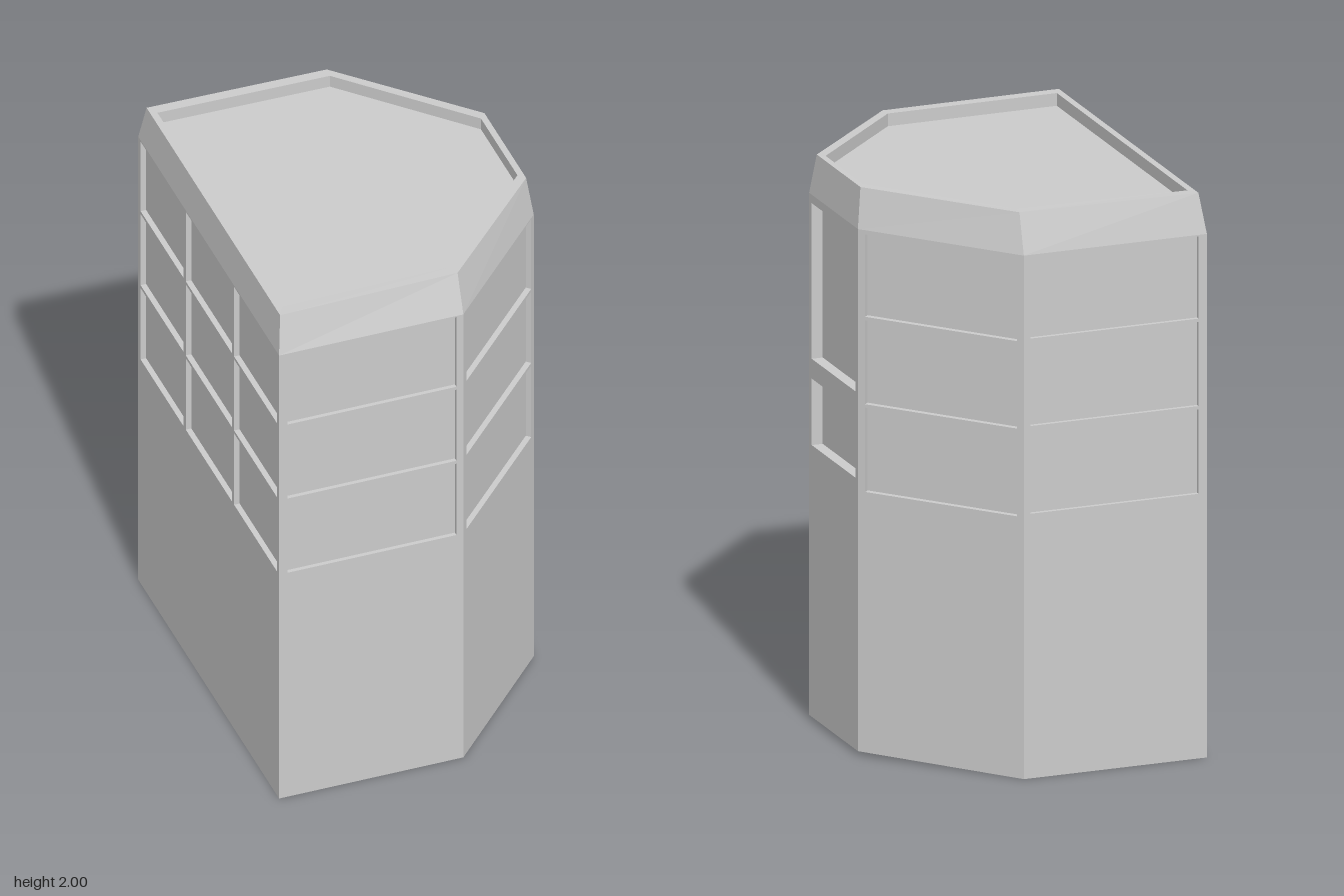
import * as THREE from 'three';

const material = new THREE.MeshStandardMaterial({ color: 0xcccccc, flatShading: true });

// Six corners of each level as [x, y, z], counter-clockwise seen from above
const BASE = [[-0.545, 0, 0.67], [0.12, 0, 0.67], [0.54, 0.015, 0.232], [0.54, 0.015, -0.212], [0.12, 0, -0.67], [-0.545, 0, -0.67]];
const EAVE = BASE.map(([x, y, z]) => [x, x > 0.5 ? 1.86 : 1.85, z]);
const TOP = [[-0.527, 1.988, 0.632], [0.118, 1.99, 0.62], [0.522, 2, 0.207], [0.522, 2, -0.19], [0.118, 1.99, -0.625], [-0.527, 1.988, -0.638]];
const RIM = [[-0.503, 1.988, 0.59], [0.115, 1.99, 0.58], [0.5, 2, 0.182], [0.5, 2, -0.165], [0.115, 1.99, -0.587], [-0.503, 1.988, -0.598]];
const ROOF = RIM.map(([x, y, z]) => [x, y - 0.045, z]);

// Flat-shaded mesh from four-cornered faces
function quadMesh(name, quads) {
  const points = quads.flatMap(([a, b, c, d]) => [a, b, c, a, c, d]);
  const geometry = new THREE.BufferGeometry();
  geometry.setAttribute('position', new THREE.Float32BufferAttribute(points.flat(), 3));
  geometry.computeVertexNormals();
  const mesh = new THREE.Mesh(geometry, material);
  mesh.name = name;
  return mesh;
}

// Band of faces joining two levels
function band(name, from, to) {
  return quadMesh(name, from.map((p, i) => {
    const j = (i + 1) % from.length;
    return [p, from[j], to[j], to[i]];
  }));
}

// Horizontal cap, folded between the square rear part and the tapering bay
function cap(name, p, faceDown) {
  const quads = [[p[0], p[1], p[4], p[5]], [p[1], p[2], p[3], p[4]]];
  return quadMesh(name, faceDown ? quads.map((q) => q.reverse()) : quads);
}

// Wall i with recessed windows; each window is [start, end, bottom, top],
// start and end measured along the wall from its left corner
function wall(name, i, windows, depth) {
  const j = (i + 1) % 6;
  const [a, b, c, d] = [BASE[i], BASE[j], EAVE[j], EAVE[i]];
  const along = new THREE.Vector3(b[0] - a[0], 0, b[2] - a[2]);
  const length = along.length();
  along.normalize();
  const up = new THREE.Vector3(0, 1, 0);
  const normal = along.clone().cross(up);
  const slope = (c[1] - d[1]) / length;

  const shape = new THREE.Shape([[0, a[1]], [length, b[1]], [length, c[1]], [0, d[1]]]
    .map((p) => new THREE.Vector2(...p)));
  const recesses = [];
  for (const [s, e, bottom, top] of windows) {
    const corners = [[s, bottom + slope * s], [e, bottom + slope * e], [e, top + slope * e], [s, top + slope * s]];
    shape.holes.push(new THREE.Path(corners.map((p) => new THREE.Vector2(...p))));
    const outer = corners.map(([u, v]) => [u, v, 0]);
    const inner = corners.map(([u, v]) => [u, v, -depth]);
    recesses.push(inner);
    outer.forEach((p, k) => {
      const n = (k + 1) % 4;
      recesses.push([p, outer[n], inner[n], inner[k]]);
    });
  }

  const group = new THREE.Group();
  group.name = name;
  const face = new THREE.Mesh(new THREE.ShapeGeometry(shape), material);
  face.name = name + 'Face';
  group.add(face, quadMesh(name + 'Windows', recesses));
  group.applyMatrix4(new THREE.Matrix4().makeBasis(along, up, normal).setPosition(a[0], 0, a[2]));
  return group;
}

// Every combination of the given columns with the three window rows
const ROWS = [[0.935, 1.233], [1.245, 1.542], [1.554, 1.845]];
const grid = (columns) => columns.flatMap((c) => ROWS.map((r) => [...c, ...r]));

export function createModel() {
  const model = new THREE.Group();
  model.name = 'tower';

  // Walls
  model.add(
    wall('frontWall', 0, grid([[0.03, 0.64]]), 0.015),
    wall('frontAngledWall', 1, grid([[0.027, 0.585]]), 0.02),
    wall('endWall', 2, [[0.024, 0.42, 0.975, 1.21], [0.024, 0.42, 1.28, 1.83]], 0.04),
    wall('backAngledWall', 3, grid([[0.027, 0.595]]), 0.02),
    wall('backWall', 4, grid([[0.025, 0.635]]), 0.015),
    wall('flatSideWall', 5, grid([[0.022, 0.43], [0.452, 0.89], [0.912, 1.318]]), 0.02),
  );

  // Sloped crown, parapet and sunken roof
  model.add(
    band('crown', EAVE, TOP),
    band('parapetTop', TOP, RIM),
    band('parapetInside', RIM, ROOF),
    cap('roof', ROOF, false),
    cap('underside', BASE, true),
  );
  return model;
}
